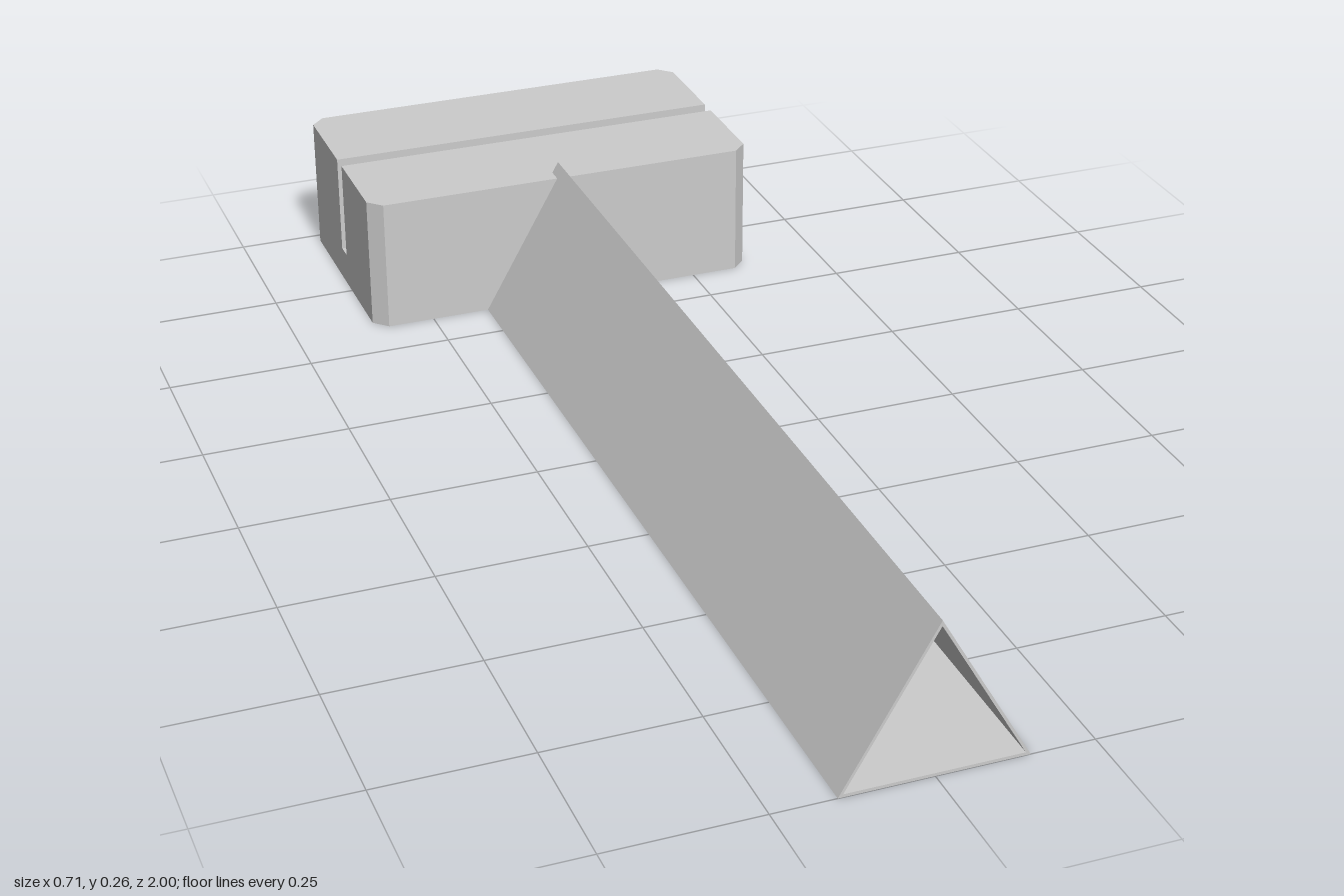
import * as THREE from 'three';

const polygon = (points, Type = THREE.Shape) =>
  new Type(points.map(([x, y]) => new THREE.Vector2(x, y)));

// Slotted block: a U profile swept along x, narrowed at both ends for the chamfers
function slottedBlock(material) {
  const halfWidth = 0.357, chamfer = 0.024, height = 0.238, slotFloor = 0.06;
  const back = -1, front = -0.588, slotBack = -0.807, slotFront = -0.777;
  const profile = polygon([
    [back, 0], [front, 0], [front, height], [slotFront, height],
    [slotFront, slotFloor], [slotBack, slotFloor], [slotBack, height], [back, height],
  ]);
  const geometry = new THREE.ExtrudeGeometry(profile, { depth: 3, steps: 3, bevelEnabled: false });
  const stations = [-halfWidth, chamfer - halfWidth, halfWidth - chamfer, halfWidth];
  const p = geometry.attributes.position;
  for (let i = 0; i < p.count; i++) {
    const step = Math.round(p.getZ(i));
    p.setZ(i, stations[step]);
    if (step === 0 || step === 3) {
      if (p.getX(i) < back + 0.01) p.setX(i, back + chamfer);
      if (p.getX(i) > front - 0.01) p.setX(i, front - chamfer);
    }
  }
  geometry.rotateY(-Math.PI / 2);
  geometry.computeVertexNormals();
  const mesh = new THREE.Mesh(geometry, material);
  mesh.name = 'slottedBlock';
  return mesh;
}

// Thin-walled triangular tube, open at the front
function triangularTube(material) {
  const shape = polygon([[-0.148, 0], [0.148, 0], [0, 0.257]]);
  shape.holes.push(polygon([[-0.14, 0.005], [0, 0.248], [0.14, 0.005]], THREE.Path));
  const geometry = new THREE.ExtrudeGeometry(shape, { depth: 1.615, bevelEnabled: false });
  geometry.translate(0, 0, -0.615);
  const mesh = new THREE.Mesh(geometry, material);
  mesh.name = 'triangularTube';
  return mesh;
}

export function createModel() {
  const gray = new THREE.MeshStandardMaterial({ color: 0xcccccc });
  gray.name = 'lightGray';
  const model = new THREE.Group();
  model.name = 'slottedHeadTube';
  model.add(slottedBlock(gray), triangularTube(gray));
  return model;
}
